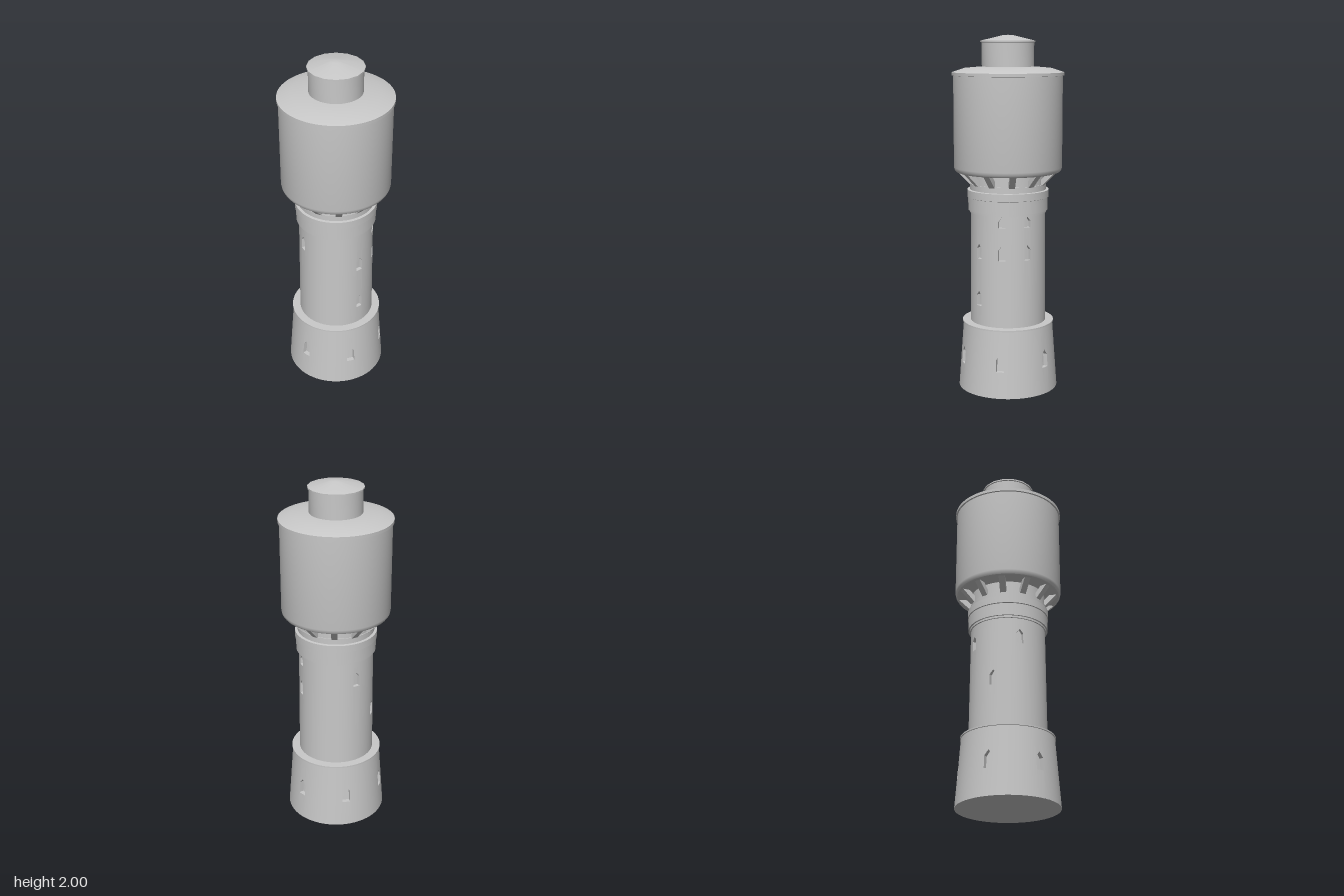
import * as THREE from 'three';
import { toCreasedNormals } from 'three/addons/utils/BufferGeometryUtils.js';

const DEG = Math.PI / 180;
const stone = new THREE.MeshStandardMaterial({ color: 0xc8c8c8 });
stone.name = 'pale grey';

function add(group, name, geometry) {
  const mesh = new THREE.Mesh(geometry, stone);
  mesh.name = name;
  group.add(mesh);
  return mesh;
}

// Turned part from a bottom-to-top profile of [radius, height]
function turned(profile, sides = 64, start = 0) {
  const pts = profile.map(([r, y]) => new THREE.Vector2(r, y));
  return toCreasedNormals(new THREE.LatheGeometry(pts, sides, start), 0.5);
}

// Round tapered wall with recessed pointed windows.
// windows: { angle in degrees, sills: [heights] }, one entry per column
function windowWall({ r0, r1, y0, y1, width, shoulder, apex, depth, columns }) {
  const pos = [];
  const point = (a, y, inset = 0) => {
    const r = r0 + (r1 - r0) * (y - y0) / (y1 - y0) - inset;
    return [r * Math.sin(a), y, r * Math.cos(a)];
  };
  const quad = (a, b, c, d) => pos.push(...a, ...b, ...c, ...a, ...c, ...d);
  const half = width / (r0 + r1);

  // Half of a window column; the apex lies on the column's centre line
  const halfColumn = (a0, a1, leftHalf, sills) => {
    let b0 = y0, b1 = y0;
    for (const sill of sills) {
      const peak = Math.min(sill + apex, y1 - 0.015);
      const side = peak - (apex - shoulder);
      const t0 = leftHalf ? side : peak, t1 = leftHalf ? peak : side;
      quad(point(a0, b0), point(a1, b1), point(a1, sill), point(a0, sill));
      // pane, sill, head and jamb
      quad(point(a0, sill, depth), point(a1, sill, depth), point(a1, t1, depth), point(a0, t0, depth));
      quad(point(a0, sill), point(a1, sill), point(a1, sill, depth), point(a0, sill, depth));
      quad(point(a0, t0, depth), point(a1, t1, depth), point(a1, t1), point(a0, t0));
      if (leftHalf) quad(point(a0, sill), point(a0, sill, depth), point(a0, t0, depth), point(a0, t0));
      else quad(point(a1, sill, depth), point(a1, sill), point(a1, t1), point(a1, t1, depth));
      b0 = t0;
      b1 = t1;
    }
    quad(point(a0, b0), point(a1, b1), point(a1, y1), point(a0, y1));
  };

  columns.forEach(({ angle, sills }, i) => {
    const c = angle * DEG;
    const next = i + 1 < columns.length ? columns[i + 1].angle : columns[0].angle + 360;
    halfColumn(c - half, c, true, sills);
    halfColumn(c, c + half, false, sills);
    // plain wall up to the next column
    const from = c + half, to = next * DEG - half;
    const n = Math.ceil((to - from) / (6 * DEG));
    for (let k = 0; k < n; k++) {
      const a0 = from + (to - from) * k / n, a1 = from + (to - from) * (k + 1) / n;
      quad(point(a0, y0), point(a1, y0), point(a1, y1), point(a0, y1));
    }
  });
  const g = new THREE.BufferGeometry();
  g.setAttribute('position', new THREE.Float32BufferAttribute(pos, 3));
  return toCreasedNormals(g, 0.4);
}

export function createModel() {
  const tower = new THREE.Group();
  tower.name = 'waterTower';

  // Tapered foot with six windows
  add(tower, 'footUnderside', turned([[0, 0], [0.283, 0]]));
  add(tower, 'footWall', windowWall({
    r0: 0.283, r1: 0.255, y0: 0, y1: 0.38, width: 0.046, shoulder: 0.07, apex: 0.1, depth: 0.025,
    columns: [30, 90, 150, 210, 270, 330].map(angle => ({ angle, sills: [0.15] })),
  }));
  add(tower, 'footLedge', turned([[0.25, 0.378], [0.26, 0.38], [0.26, 0.388], [0.2, 0.39]]));

  // Shaft with windows climbing around it
  add(tower, 'shaftWall', windowWall({
    r0: 0.215, r1: 0.21, y0: 0.38, y1: 1.03, width: 0.04, shoulder: 0.06, apex: 0.085, depth: 0.02,
    columns: [
      { angle: 50, sills: [0.5, 0.77] },
      { angle: 90, sills: [0.77, 0.955] },
      { angle: 130, sills: [0.77, 0.955] },
      { angle: 230, sills: [0.87] },
      { angle: 270, sills: [0.63] },
      { angle: 310, sills: [0.87] },
    ],
  }));

  // Stepped collar and neck under the tank
  add(tower, 'collar', turned([
    [0.2, 1.018], [0.217, 1.018], [0.217, 1.03], [0.225, 1.03], [0.225, 1.102], [0.23, 1.104],
    [0.23, 1.145], [0.215, 1.147], [0.215, 1.18], [0.21, 1.18], [0.21, 1.25],
  ]));

  // Twelve slanted struts
  const profile = new THREE.Shape();
  profile.moveTo(0.2, 1.168);
  profile.lineTo(0.215, 1.175);
  profile.lineTo(0.285, 1.246);
  profile.lineTo(0.245, 1.246);
  profile.lineTo(0.2, 1.2);
  const strutGeometry = new THREE.ExtrudeGeometry(profile, { depth: 0.034, bevelEnabled: false });
  strutGeometry.translate(0, 0, -0.017);
  const struts = new THREE.Group();
  struts.name = 'struts';
  for (let i = 0; i < 12; i++) {
    add(struts, 'strut', strutGeometry).rotation.y = (15 + 30 * i) * DEG;
  }
  tower.add(struts);

  // Tank with rounded lower edge
  add(tower, 'tank', turned([
    [0.2, 1.243], [0.283, 1.243], [0.294, 1.248], [0.301, 1.258], [0.304, 1.272], [0.304, 1.782],
  ], 72));
  // Shallow roof with a thin rim
  add(tower, 'roof', turned([
    [0.3, 1.778], [0.312, 1.78], [0.312, 1.797], [0.24, 1.82], [0.14, 1.828],
  ], 72));

  // Lantern and its sixteen-sided cap
  add(tower, 'lantern', turned([[0.145, 1.815], [0.145, 1.968]], 32));
  add(tower, 'lanternCap', turned([
    [0.14, 1.958], [0.153, 1.96], [0.153, 1.968], [0.03, 1.998], [0, 2],
  ], 16, 11.25 * DEG));

  return tower;
}
